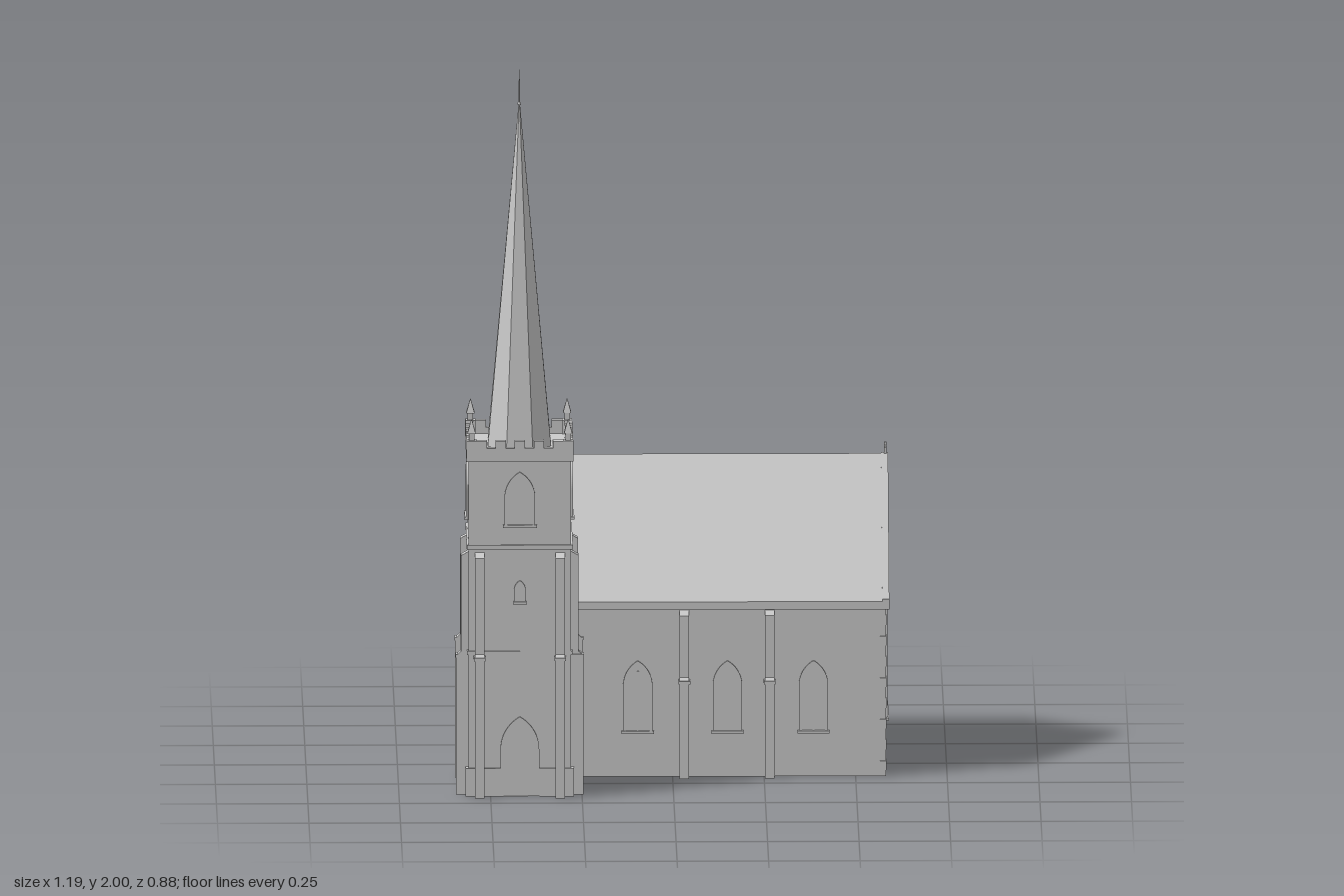
import * as THREE from 'three';

const stone = new THREE.MeshStandardMaterial({ color: 0xcccccc });
stone.name = 'stone grey';

function add(parent, name, geo, x = 0, y = 0, z = 0, ry = 0) {
  const m = new THREE.Mesh(geo, stone);
  m.name = name;
  m.position.set(x, y, z);
  m.rotation.y = ry;
  parent.add(m);
  return m;
}
// Box given by its limits
function block(parent, name, x0, x1, y0, y1, z0, z1) {
  return add(parent, name, new THREE.BoxGeometry(x1 - x0, y1 - y0, z1 - z0),
    (x0 + x1) / 2, (y0 + y1) / 2, (z0 + z1) / 2);
}
function polygon(points) {
  return new THREE.Shape(points.map(p => new THREE.Vector2(p[0], p[1])));
}
function extrude(shape, depth) {
  return new THREE.ExtrudeGeometry(shape, { depth, bevelEnabled: false, curveSegments: 8 });
}
// Pointed arch outline standing on y = 0
function tracePointedArch(path, w, h) {
  path.moveTo(-w, 0);
  path.lineTo(w, 0);
  path.lineTo(w, h);
  path.absarc(-w, h, 2 * w, 0, Math.PI / 3, false);
  path.absarc(w, h, 2 * w, Math.PI * 2 / 3, Math.PI, false);
  path.lineTo(-w, 0);
  return path;
}
// Arched opening facing +z before turning: frame, pane, sill and mullion
function archOpening(parent, name, w, h, x, y, z, ry, sill = true) {
  const g = new THREE.Group();
  g.name = name;
  g.position.set(x, y, z);
  g.rotation.y = ry;
  const frame = tracePointedArch(new THREE.Shape(), w, h);
  const t = Math.min(0.008, w * 0.2);
  const hole = tracePointedArch(new THREE.Path(), w - t, h);
  frame.holes.push(hole);
  add(g, 'archFrame', extrude(frame, 0.006));
  add(g, 'pane', extrude(tracePointedArch(new THREE.Shape(), w - t, h), 0.002));
  add(g, 'mullion', new THREE.BoxGeometry(t * 0.7, h + w, 0.004), 0, (h + w) / 2, 0.002);
  if (sill) add(g, 'sill', new THREE.BoxGeometry(w * 2.2, 0.008, 0.014), 0, 0, 0.003);
  parent.add(g);
}
// Stepped buttress growing out along +z before turning
function buttress(parent, x, z, ry, d1, y1, d2, y2) {
  const w = 0.026;
  const shape = polygon([[-0.01, 0], [d1, 0], [d1, y1 - 0.012], [d2, y1], [d2, y2 - 0.012], [0, y2], [-0.01, y2]]);
  const geo = extrude(shape, w);
  geo.translate(0, 0, -w / 2);
  geo.rotateY(-Math.PI / 2);
  add(parent, 'buttress', geo, x, 0, z, ry);
  const cap = new THREE.BoxGeometry(w + 0.006, 0.008, d1 + 0.004);
  cap.translate(0, y1 - 0.012, d1 / 2);
  add(parent, 'buttressLedge', cap, x, 0, z, ry);
}

function buildNave() {
  const g = new THREE.Group();
  g.name = 'nave';
  const X0 = -0.55, X1 = 0.583, ZS = 0.162, ZN = -0.412, ZC = -0.125;
  // Shapes below are drawn in (-z, y) and extruded along x
  const alongX = (name, pts, x0, x1) => {
    const geo = extrude(polygon(pts), x1 - x0);
    geo.rotateY(Math.PI / 2);
    add(g, name, geo, x0, 0, 0);
  };
  alongX('walls', [[-ZS, 0], [-ZN, 0], [-ZN, 0.485], [-ZC, 0.825], [-ZS, 0.485]], X0, X1);
  const roof = (name, lift, x0, x1) => alongX(name, [
    [-0.171, 0.474 + lift], [-ZC, 0.822], [0.421, 0.474 + lift],
    [0.421, 0.49 + lift], [-ZC, 0.84 + lift], [-0.171, 0.49 + lift]], x0, x1);
  roof('roof', 0, X0 + 0.005, X1 - 0.005);
  roof('westCoping', 0.003, X0 - 0.003, X0 + 0.016);
  roof('eastCoping', 0.003, X1 - 0.01, X1 + 0.009);
  block(g, 'southEave', -0.28, X1, 0.468, 0.482, ZS - 0.01, 0.171);
  block(g, 'northEave', X0, X1, 0.468, 0.482, -0.421, ZN + 0.01);
  for (const [x, z] of [[X1, ZS], [X1, ZN], [X0 + 0.004, ZN]])
    add(g, 'kneeler', new THREE.BoxGeometry(0.02, 0.028, 0.022), x, 0.482, z);

  // Gable cross
  block(g, 'crossShaft', 0.581, 0.587, 0.835, 0.872, ZC - 0.003, ZC + 0.003);
  block(g, 'crossArm', 0.581, 0.587, 0.857, 0.863, ZC - 0.011, ZC + 0.011);

  // Side windows and buttresses
  for (const x of [-0.095, 0.15, 0.385]) archOpening(g, 'southWindow', 0.04, 0.13, x, 0.125, ZS, 0);
  for (const x of [-0.32, -0.085, 0.15, 0.385]) archOpening(g, 'northWindow', 0.04, 0.13, x, 0.125, ZN, Math.PI);
  for (const x of [0.032, 0.265]) buttress(g, x, ZS, 0, 0.03, 0.28, 0.017, 0.465);
  for (const x of [-0.2, 0.032, 0.265]) buttress(g, x, ZN, Math.PI, 0.026, 0.28, 0.014, 0.465);

  // Gable windows
  archOpening(g, 'eastWindow', 0.1, 0.35, X1, 0.12, ZC, Math.PI / 2);
  archOpening(g, 'westWindow', 0.055, 0.165, X0, 0.12, ZC, -Math.PI / 2);

  // Corner quoins, alternating long and short
  for (const [x, z, sx, sz] of [[X1, ZS, 1, 1], [X1, ZN, 1, -1], [X0, ZN, -1, -1]])
    for (let i = 0; i < 8; i++) {
      const a = i % 2 ? 0.03 : 0.018, b = i % 2 ? 0.018 : 0.03;
      add(g, 'quoin', new THREE.BoxGeometry(a, 0.026, b),
        x + sx * (0.002 - a / 2), 0.03 + i * 0.058, z + sz * (0.002 - b / 2));
    }
  return g;
}

function buildTower() {
  const g = new THREE.Group();
  g.name = 'tower';
  g.position.set(-0.42, 0, 0.265);
  const R = 0.14;
  const slab = (name, r, y0, y1) => block(g, name, -r, r, y0, y1, -r, r);
  slab('shaft', R, 0, 0.955);
  slab('lowerStringCourse', R + 0.004, 0.395, 0.405);
  slab('upperStringCourse', R + 0.005, 0.69, 0.702);
  slab('cornice', R + 0.006, 0.935, 0.947);

  // Details on each face: 0 south, 1 east, 2 north, 3 west
  for (let k = 0; k < 4; k++) {
    const f = new THREE.Group();
    f.name = ['southFace', 'eastFace', 'northFace', 'westFace'][k];
    f.rotation.y = k * Math.PI / 2;
    g.add(f);
    for (const x of [-0.11, 0.11]) buttress(f, x, R, 0, 0.034, 0.4, 0.021, 0.68);
    archOpening(f, 'belfryWindow', 0.042, 0.078, 0, 0.755, R, 0);
    if (k !== 2) archOpening(f, 'smallWindow', 0.016, 0.035, 0, 0.54, R, 0);
    // Plinth, broken by the doorway on the south
    if (k === 0) {
      archOpening(f, 'door', 0.053, 0.13, 0, 0, R, 0, false);
      block(f, 'plinth', -R - 0.008, -0.053, 0, 0.078, R - 0.005, R + 0.008);
      block(f, 'plinth', 0.053, R + 0.008, 0, 0.078, R - 0.005, R + 0.008);
    } else block(f, 'plinth', -R - 0.008, R + 0.008, 0, 0.078, R - 0.005, R + 0.008);
    // Parapet and battlements
    block(f, 'parapet', -R - 0.006, R + 0.006, 0.945, 0.972, R - 0.015, R + 0.006);
    for (let i = -2; i <= 2; i++)
      block(f, 'merlon', i * 0.052 - 0.014, i * 0.052 + 0.014, 0.97, 0.992, R - 0.015, R + 0.006);
  }

  // Corner pinnacles
  for (const x of [-1, 1]) for (const z of [-1, 1]) {
    const px = x * 0.132, pz = z * 0.132;
    add(g, 'pinnacleBase', new THREE.BoxGeometry(0.028, 0.05, 0.028), px, 0.968, pz);
    add(g, 'pinnacleShaft', new THREE.BoxGeometry(0.015, 0.025, 0.015), px, 1.003, pz);
    add(g, 'pinnacleCap', new THREE.CylinderGeometry(0.001, 0.016, 0.038, 4).toNonIndexed(), px, 1.032, pz, Math.PI / 4)
      .geometry.computeVertexNormals();
  }

  // Octagonal spire with flat faces toward each side, and finial
  const spire = new THREE.CylinderGeometry(0.002, 0.094, 0.955, 8).toNonIndexed();
  spire.computeVertexNormals();
  add(g, 'spire', spire, 0, 1.4275, 0, Math.PI / 8);
  add(g, 'finialKnob', new THREE.SphereGeometry(0.005, 8, 6), 0, 1.905, 0);
  add(g, 'finial', new THREE.CylinderGeometry(0.001, 0.003, 0.1, 6), 0, 1.95, 0);
  return g;
}

export function createModel() {
  const model = new THREE.Group();
  model.name = 'church';
  model.add(buildNave(), buildTower());
  return model;
}
